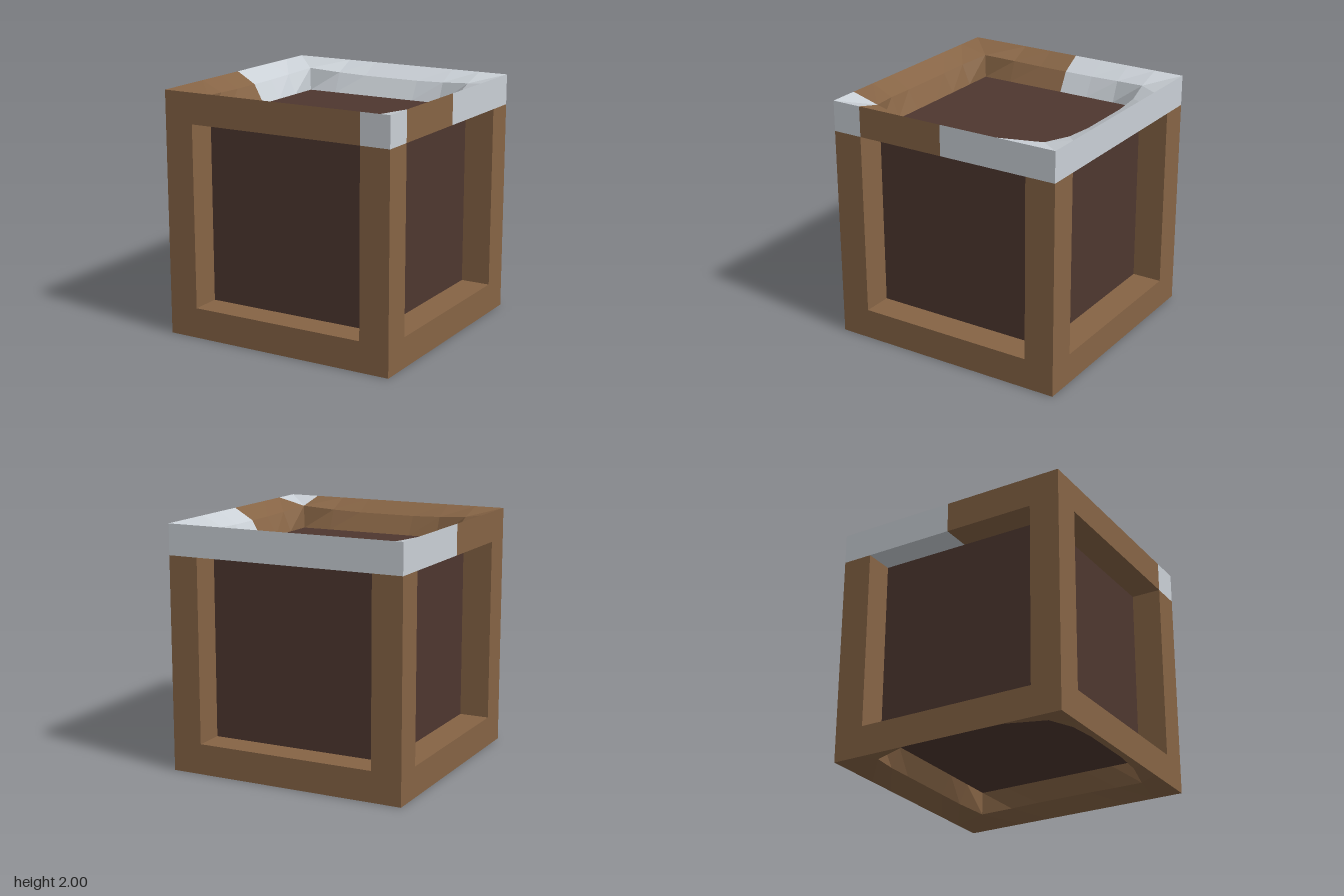
import * as THREE from 'three';

const material = (name, color) => {
  const m = new THREE.MeshStandardMaterial({ color });
  m.name = name;
  return m;
};

// Cross-section stations along one rim side: [t, lip position along side, lip radius, lip height]
const half = [[0, 0, 0.835, 1.905], [0.25, 0.25, 0.835, 1.905], [0.5, 0.5, 0.82, 1.915], [0.75, 0.76, 0.76, 1.94], [1, 0.76, 0.76, 1.94]];
const stations = [...half.slice(1).reverse().map(([t, l, r, y]) => [-t, -l, r, y]), ...half];

// Loop of one station: outer bottom, outer top, dished lip, panel edge
const section = ([t, l, r, y]) => {
  const p = THREE.MathUtils.clamp(t, -0.75, 0.75);
  return [[t, 1.75, 1], [t, 2, 1], [l, y, r], [p, 1.75, 0.75]];
};

// Square rim with a dished opening; keep(x, z) selects the segments to build
function rimGeometry(keep, flip) {
  const pos = [];
  const axis = new THREE.Vector3(0, 1, 0);
  for (let side = 0; side < 4; side++) {
    const place = ([x, y, z]) => {
      const v = new THREE.Vector3(x, y, z).applyAxisAngle(axis, side * Math.PI / 2);
      if (flip) v.y = 2 - v.y;
      return v;
    };
    for (let i = 0; i < stations.length - 1; i++) {
      const mid = place([(stations[i][0] + stations[i + 1][0]) / 2, 2, 1]);
      if (!keep(mid.x, mid.z)) continue;
      const s0 = section(stations[i]).map(place);
      const s1 = section(stations[i + 1]).map(place);
      for (let j = 0; j < 4; j++) {
        const n = (j + 1) % 4;
        const a = s0[j], b = s1[j], c = s1[n], d = s0[n];
        for (const tri of [[a, b, c], [a, c, d]]) {
          if (flip) tri.reverse();
          tri.forEach(v => pos.push(v.x, v.y, v.z));
        }
      }
    }
  }
  const g = new THREE.BufferGeometry();
  g.setAttribute('position', new THREE.Float32BufferAttribute(pos, 3));
  g.computeVertexNormals();
  return g;
}

export function createModel() {
  const wood = material('wood', 0x866445);
  const darkWood = material('dark wood', 0x4e372f);
  const metal = material('pale metal', 0xcad0d6);
  const group = new THREE.Group();
  const add = (name, geometry, mat, x = 0, y = 0, z = 0) => {
    const mesh = new THREE.Mesh(geometry, mat);
    mesh.name = name;
    mesh.position.set(x, y, z);
    group.add(mesh);
  };

  // Recessed panels on all six sides
  add('innerPanels', new THREE.BoxGeometry(1.5, 1.5, 1.5), darkWood, 0, 1, 0);

  // Corner posts
  const post = new THREE.BoxGeometry(0.25, 1.5, 0.25);
  for (const x of [-1, 1]) for (const z of [-1, 1]) add('cornerPost', post, wood, x * 0.875, 1, z * 0.875);

  // Top rim: metal on the back half and on one front corner
  const isMetal = (x, z) => z < -0.01 || (x > 0.75 && z > 0.75);
  add('topRimWood', rimGeometry((x, z) => !isMetal(x, z), false), wood);
  add('topRimMetal', rimGeometry(isMetal, false), metal);

  // Bottom rim
  add('bottomRim', rimGeometry(() => true, true), wood);
  return group;
}
